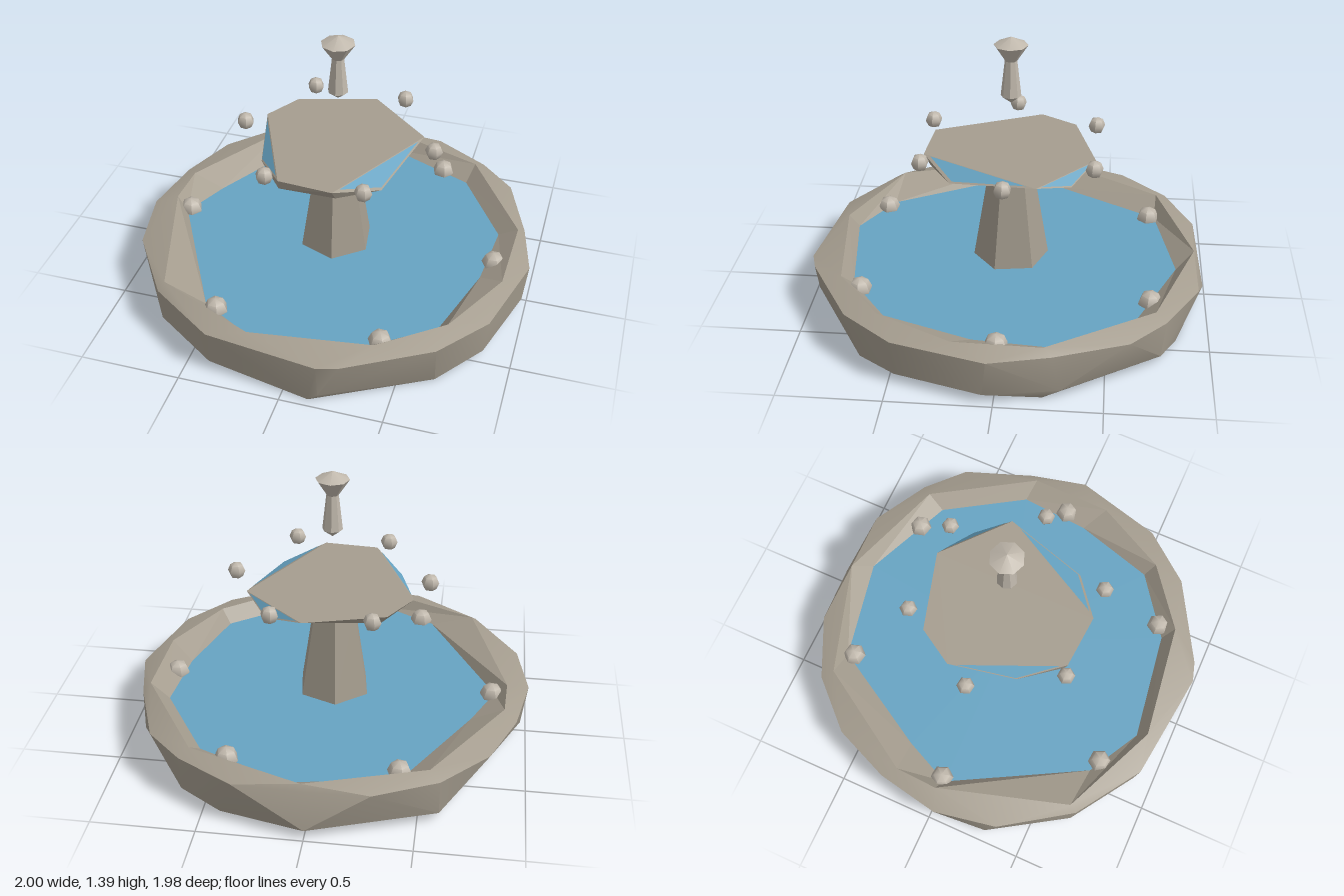
import * as THREE from 'three';
import { toCreasedNormals } from 'three/addons/utils/BufferGeometryUtils.js';
import { ConvexGeometry } from 'three/addons/geometries/ConvexGeometry.js';

const mat = (name, color) => Object.assign(new THREE.MeshStandardMaterial({ color }), { name });

// Outline of [x, z] pairs placed at one height
const ring = (y, outline) => outline.map(([x, z]) => new THREE.Vector3(x, y, z));

function fromTriangles(points) {
  const g = new THREE.BufferGeometry().setFromPoints(points);
  g.computeVertexNormals();
  return g;
}

export function createModel() {
  const model = new THREE.Group();
  const stone = mat('stone', 0xa59d8f);
  const paleStone = mat('paleStone', 0xc0b8ac);
  const water = mat('water', 0x66a3c2);
  const add = (name, geometry, material, x = 0, y = 0, z = 0) => {
    const m = new THREE.Mesh(geometry, material);
    m.name = name;
    m.position.set(x, y, z);
    model.add(m);
    return m;
  };

  // Basin: faceted hull from base to rim crest, open at the top
  const base = ring(0, [[-.54, -.73], [-.86, .37], [.13, .96], [.67, .67], [.91, -.22], [.42, -.84]]);
  const foot = ring(.05, [[0, -.99], [.62, -.76], [.92, -.3], [.98, .05], [.86, .47], [.18, .97],
    [-.38, .9], [-.71, .68], [-.95, .3], [-.97, 0], [-.6, -.78]]);
  const shoulder = ring(.24, [[0, -.95], [.34, -.94], [.62, -.78], [.8, -.61], [.93, -.26], [1, .03],
    [.88, .48], [.68, .73], [.28, .96], [.18, .99], [-.38, .92], [-.71, .7], [-.94, .36], [-1, .04],
    [-.94, -.28], [-.82, -.57], [-.6, -.8], [-.3, -.94]]);
  const crest = ring(.27, [[.02, -.93], [.58, -.73], [.9, -.22], [.89, .2], [.7, .57], [.4, .8],
    [-.19, .88], [-.69, .66], [-.89, 0], [-.88, -.22], [-.55, -.75]]);
  const pool = ring(.2, [[.09, -.84], [.55, -.64], [.8, -.24], [.77, .12], [.65, .53], [.35, .75],
    [-.2, .83], [-.47, .68], [-.83, .02], [-.72, -.22], [-.42, -.74]]);

  const hull = new ConvexGeometry([...base, ...foot, ...shoulder, ...crest]).getAttribute('position');
  const shell = [];
  for (let i = 0; i < hull.count; i += 3) {
    const tri = [0, 1, 2].map(k => new THREE.Vector3().fromBufferAttribute(hull, i + k));
    if (!tri.every(p => p.y > .269)) shell.push(...tri);
  }
  add('basinShell', toCreasedNormals(fromTriangles(shell), .5), stone);

  // Inner slope of the rim and the pool surface
  const slope = [], surface = [], centre = new THREE.Vector3(0, .2, 0);
  crest.forEach((c, i) => {
    const j = (i + 1) % crest.length;
    slope.push(c, pool[i], crest[j], crest[j], pool[i], pool[j]);
    surface.push(centre, pool[j], pool[i]);
  });
  add('basinInnerRim', fromTriangles(slope), stone);
  add('poolWater', fromTriangles(surface), water);

  // Tapered pedestal
  const pedestal = new THREE.CylinderGeometry(.115, .19, .46, 6).rotateY(.15);
  add('pedestal', toCreasedNormals(pedestal, .5), stone, -.01, .43, 0);

  // Upper bowl: irregular flat top, lower ledge and a shallow point
  const top = ring(.8, [[.09, -.42], [.4, -.15], [.09, .42], [-.18, .4], [-.41, -.13], [-.3, -.31]]);
  const ledge = ring(.75, [[.28, -.31], [.29, .27], [-.33, .2], [-.18, .39], [.1, .39], [-.27, -.28]]);
  const tip = new THREE.Vector3(0, .64, -.06);
  add('upperBowl', toCreasedNormals(new ConvexGeometry([...top, ...ledge, tip]), .3), stone);

  // Water showing on the sloped sides of the bowl
  const spills = [[top[1], top[2], ledge[1]], [top[3], top[4], ledge[2]], [top[0], top[1], ledge[0]]];
  for (const [a, b, c] of spills) {
    const t = new THREE.Triangle(a, c, b);
    const mid = t.getMidpoint(new THREE.Vector3());
    const n = t.getNormal(new THREE.Vector3());
    if (n.dot(new THREE.Vector3(mid.x, 0, mid.z)) < 0) n.negate();
    const pts = [a, b, c].map(p => p.clone().lerp(mid, .15).addScaledVector(n, .004));
    if (new THREE.Triangle(...pts).getNormal(new THREE.Vector3()).dot(n) < 0) pts.reverse();
    add('bowlWater', fromTriangles(pts), water);
  }

  // Finial above the bowl
  const profile = [[0, 1.05], [.05, 1.09], [.03, 1.27], [.083, 1.35], [0, 1.39]]
    .map(([r, y]) => new THREE.Vector2(r, y));
  add('finial', toCreasedNormals(new THREE.LatheGeometry(profile, 8), .5), paleStone);

  // Bead rings: six around the bowl, larger ones set into the basin rim
  const bead = r => toCreasedNormals(new THREE.SphereGeometry(r, 6, 4), .9);
  const smallBead = bead(.044), largeBead = bead(.06);
  for (let i = 0; i < 6; i++) {
    const a = i * Math.PI / 3, x = Math.cos(a), z = Math.sin(a);
    add('bowlBead', smallBead, paleStone, .48 * x, .83, .48 * z).rotation.y = i;
    add('rimBead', largeBead, paleStone, .815 * x, .21, .815 * z).rotation.y = i;
  }
  return model;
}
